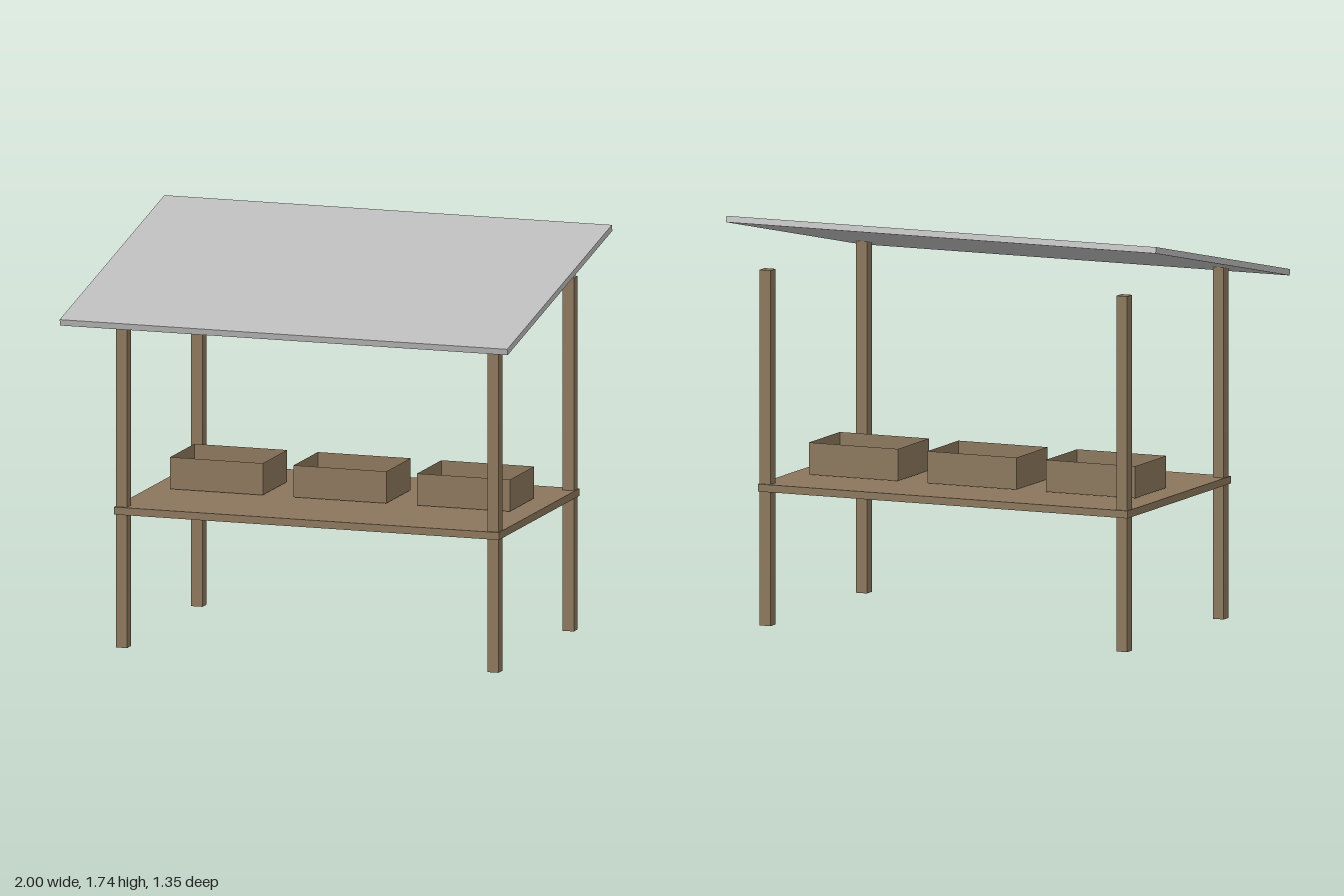
import * as THREE from 'three';

export function createModel() {
  const stall = new THREE.Group();
  stall.name = 'marketStall';

  const wood = new THREE.MeshStandardMaterial({ color: 0x8b765c });
  wood.name = 'wood';
  const crateWood = wood.clone();
  crateWood.name = 'crate wood';
  crateWood.side = THREE.DoubleSide;
  const roofGrey = new THREE.MeshStandardMaterial({ color: 0xbbbbbb });
  roofGrey.name = 'roof grey';

  function add(parent, name, geometry, material, x, y, z) {
    const mesh = new THREE.Mesh(geometry, material);
    mesh.name = name;
    mesh.position.set(x, y, z);
    parent.add(mesh);
    return mesh;
  }

  // Four posts
  const postHeight = 1.52;
  const post = new THREE.BoxGeometry(0.05, postHeight, 0.05);
  for (const [sideName, x] of [['Left', 0.83], ['Right', -0.83]]) {
    add(stall, 'front' + sideName + 'Post', post, wood, x, postHeight / 2, 0.345);
    add(stall, 'back' + sideName + 'Post', post, wood, x, postHeight / 2, -0.622);
  }

  // Counter
  add(stall, 'tableTop', new THREE.BoxGeometry(1.72, 0.032, 1.035), wood, 0, 0.589, -0.137);

  // Sloping roof, low at the front
  const roof = add(stall, 'roof', new THREE.BoxGeometry(2, 0.027, 1.375), roofGrey, 0, 1.587, 0);
  roof.rotation.x = 0.211;

  // Open crates with sheet-thin walls
  const w = 0.414, h = 0.137, d = 0.31;
  const longWall = new THREE.PlaneGeometry(w, h);
  const shortWall = new THREE.PlaneGeometry(d, h).rotateY(Math.PI / 2);
  const base = new THREE.PlaneGeometry(w, d).rotateX(-Math.PI / 2);
  for (const x of [-0.552, 0, 0.552]) {
    const crate = new THREE.Group();
    crate.name = 'crate';
    crate.position.set(x, 0.61, -0.206);
    add(crate, 'crateBase', base, crateWood, 0, 0, 0);
    for (const s of [-1, 1]) {
      add(crate, 'crateLongWall', longWall, crateWood, 0, h / 2, s * d / 2);
      add(crate, 'crateShortWall', shortWall, crateWood, s * w / 2, h / 2, 0);
    }
    stall.add(crate);
  }

  return stall;
}
